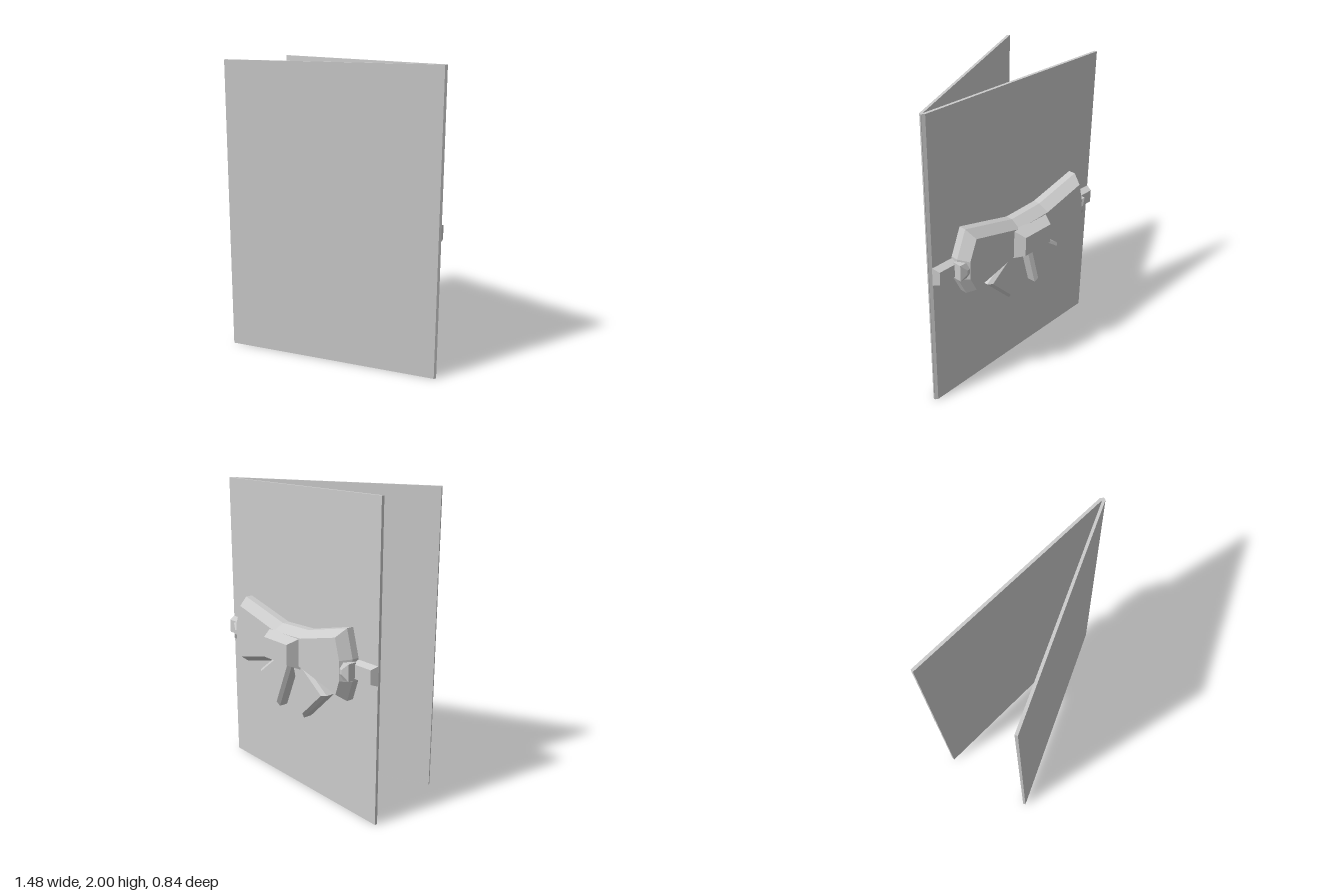
import * as THREE from 'three';

const material = new THREE.MeshStandardMaterial({ color: 0xcccccc, flatShading: true });

// Moves every edge of a counter-clockwise outline inward by the same distance
function inset(points, distance) {
  return points.map((p, i) => {
    const prev = points[(i + points.length - 1) % points.length];
    const next = points[(i + 1) % points.length];
    const a = p.clone().sub(prev).normalize();
    const b = next.clone().sub(p).normalize();
    const n1 = new THREE.Vector2(-a.y, a.x);
    const n2 = new THREE.Vector2(-b.y, b.x);
    const scale = distance / (1 + n1.dot(n2));
    return p.clone().add(n1.add(n2).multiplyScalar(scale));
  });
}

// Faceted relief rising toward -z; levels are [z, inset] pairs
function relief(name, outline, levels) {
  const points = outline.map(([x, y]) => new THREE.Vector2(x, y));
  if (THREE.ShapeUtils.isClockWise(points)) points.reverse();
  const rings = levels.map(([z, d]) => inset(points, d).map((p) => new THREE.Vector3(p.x, p.y, z)));
  const corners = [];
  for (let k = 0; k < rings.length - 1; k++) {
    const [a, b] = [rings[k], rings[k + 1]];
    for (let i = 0; i < points.length; i++) {
      const j = (i + 1) % points.length;
      corners.push(a[i], b[j], a[j], a[i], b[i], b[j]);
    }
  }
  const top = rings[rings.length - 1];
  for (const [a, b, c] of THREE.ShapeUtils.triangulateShape(points, [])) {
    corners.push(top[a], top[c], top[b]);
  }
  const geometry = new THREE.BufferGeometry().setFromPoints(corners);
  geometry.computeVertexNormals();
  const mesh = new THREE.Mesh(geometry, material);
  mesh.name = name;
  return mesh;
}

// Upright panel from its [x, z] footprint
function panel(name, footprint) {
  const shape = new THREE.Shape(footprint.map(([x, z]) => new THREE.Vector2(x, -z)));
  const geometry = new THREE.ExtrudeGeometry(shape, { depth: 2, bevelEnabled: false });
  geometry.rotateX(-Math.PI / 2);
  const mesh = new THREE.Mesh(geometry, material);
  mesh.name = name;
  return mesh;
}

const rectangle = (x0, x1, y0, y1) => [[x0, y0], [x1, y0], [x1, y1], [x0, y1]];

export function createModel() {
  const group = new THREE.Group();
  group.name = 'foldedCard';

  // Two covers meeting at the fold
  group.add(panel('backCover', [[-0.74, -0.237], [0.72, -0.237], [0.737, -0.225], [0.725, -0.218], [-0.74, -0.218]]));
  group.add(panel('frontCover', [[-0.608, 0.403], [0.715, -0.215], [0.72, -0.23], [0.74, -0.222], [0.734, -0.205], [-0.6, 0.42]]));

  // Ribbon band across the back cover
  group.add(relief('ribbonBand', rectangle(-0.743, 0.722, 0.905, 1.03), [[-0.235, 0], [-0.283, 0.018]]));

  // Bow body: wide loops, narrow waist
  const bow = [
    [-0.525, 1.22], [-0.575, 1.04], [-0.575, 0.9], [-0.53, 0.765],
    [-0.15, 0.86], [0.08, 0.865], [0.495, 0.76],
    [0.565, 0.9], [0.565, 1.04], [0.495, 1.22],
    [0.29, 1.17], [0.09, 1.12], [-0.17, 1.13],
  ];
  group.add(relief('bow', bow, [[-0.235, 0], [-0.285, 0], [-0.354, 0.042]]));

  // Blunt tips at the outer ends of the loops
  for (const [name, x0, x1] of [['leftLoopTip', 0.45, 0.585], ['rightLoopTip', -0.593, -0.45]]) {
    group.add(relief(name, rectangle(x0, x1, 0.915, 1.025), [[-0.275, 0], [-0.332, 0], [-0.352, 0.04]]));
  }

  // Knot over the waist
  group.add(relief('knot', rectangle(-0.16, 0.145, 0.88, 1.085), [[-0.345, 0], [-0.424, 0.036]]));

  // Two ribbon tails spreading below the knot
  const tails = {
    leftTail: [[-0.02, 0.87], [0.12, 0.538], [0.325, 0.745], [0.1, 0.92]],
    rightTail: [[-0.04, 0.87], [-0.135, 0.535], [-0.36, 0.75], [-0.12, 0.92]],
  };
  for (const [name, outline] of Object.entries(tails)) {
    group.add(relief(name, outline, [[-0.235, 0], [-0.298, 0], [-0.32, 0.02]]));
  }

  return group;
}
